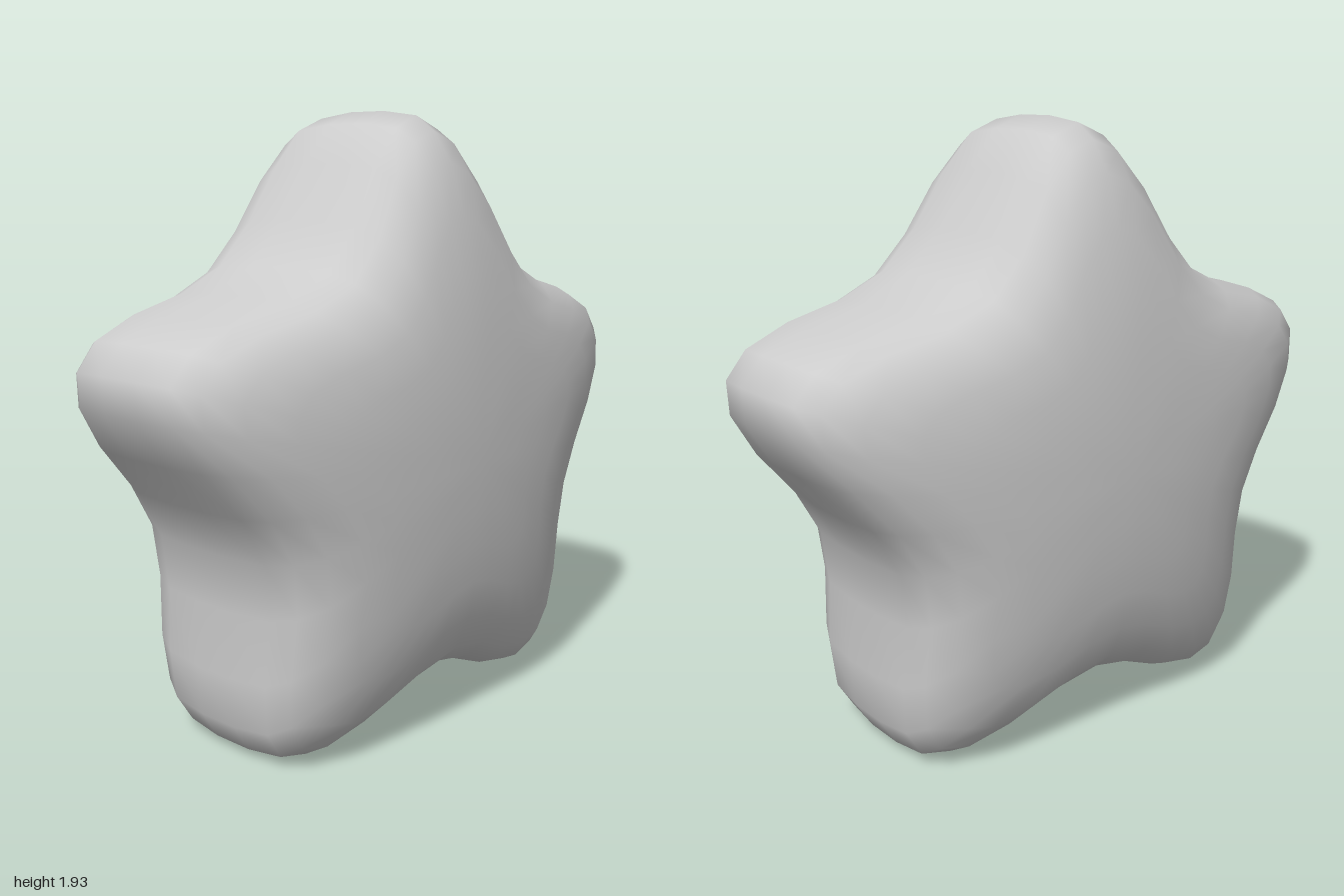
import * as THREE from 'three';

// Star outline: half of one arm (valley to tip), mirrored and turned five times
function starOutline() {
  const half = [[0.43, 0.59], [0.31, 0.72], [0.205, 0.89], [0.1, 1.01]];
  const arm = [...half, [0, 1.05], ...half.slice(1).reverse().map(([x, y]) => [-x, y])];
  const points = [];
  for (let k = 0; k < 5; k++) {
    for (const [x, y] of arm) {
      points.push(new THREE.Vector2(x, y).rotateAround(new THREE.Vector2(), (k * Math.PI * 2) / 5));
    }
  }
  return points;
}

// Puffy body: outline rings that shrink towards the front and back centres
function puffyStar() {
  // [outline scale, depth at the arm tips, extra depth at the valleys]
  const profile = [
    [0.2, 0.468, 0.003], [0.36, 0.454, 0.01], [0.53, 0.43, 0.022], [0.7, 0.388, 0.042],
    [0.85, 0.335, 0.05], [0.94, 0.268, 0.045], [0.984, 0.2, 0.03], [1, 0.07, 0.01],
  ];
  const rings = [
    ...profile.map((p) => [...p, 1]),
    ...[...profile].reverse().map((p) => [...p, -1]),
  ];
  const outline = starOutline();
  const n = outline.length;
  const positions = [0, 0, 0.473];
  const index = [];

  for (const [scale, depth, extra, side] of rings) {
    for (const p of outline) {
      const valley = (1.05 - p.length()) / 0.32;
      positions.push(p.x * scale, p.y * scale, side * (depth + extra * valley));
    }
  }
  positions.push(0, 0, -0.473);

  const id = (ring, j) => 1 + ring * n + (j % n);
  const last = rings.length - 1;
  const backCentre = 1 + rings.length * n;
  for (let j = 0; j < n; j++) {
    index.push(0, id(0, j), id(0, j + 1));
    for (let r = 0; r < last; r++) {
      index.push(id(r, j), id(r + 1, j), id(r, j + 1));
      index.push(id(r, j + 1), id(r + 1, j), id(r + 1, j + 1));
    }
    index.push(backCentre, id(last, j + 1), id(last, j));
  }

  const geometry = new THREE.BufferGeometry();
  geometry.setAttribute('position', new THREE.Float32BufferAttribute(positions, 3));
  geometry.setIndex(index);
  geometry.computeVertexNormals();
  return geometry;
}

export function createModel() {
  const group = new THREE.Group();
  group.name = 'star';
  const body = new THREE.Mesh(puffyStar(), new THREE.MeshStandardMaterial({ color: 0xcccccc }));
  body.name = 'starBody';
  body.position.y = 0.877;
  group.add(body);
  return group;
}
